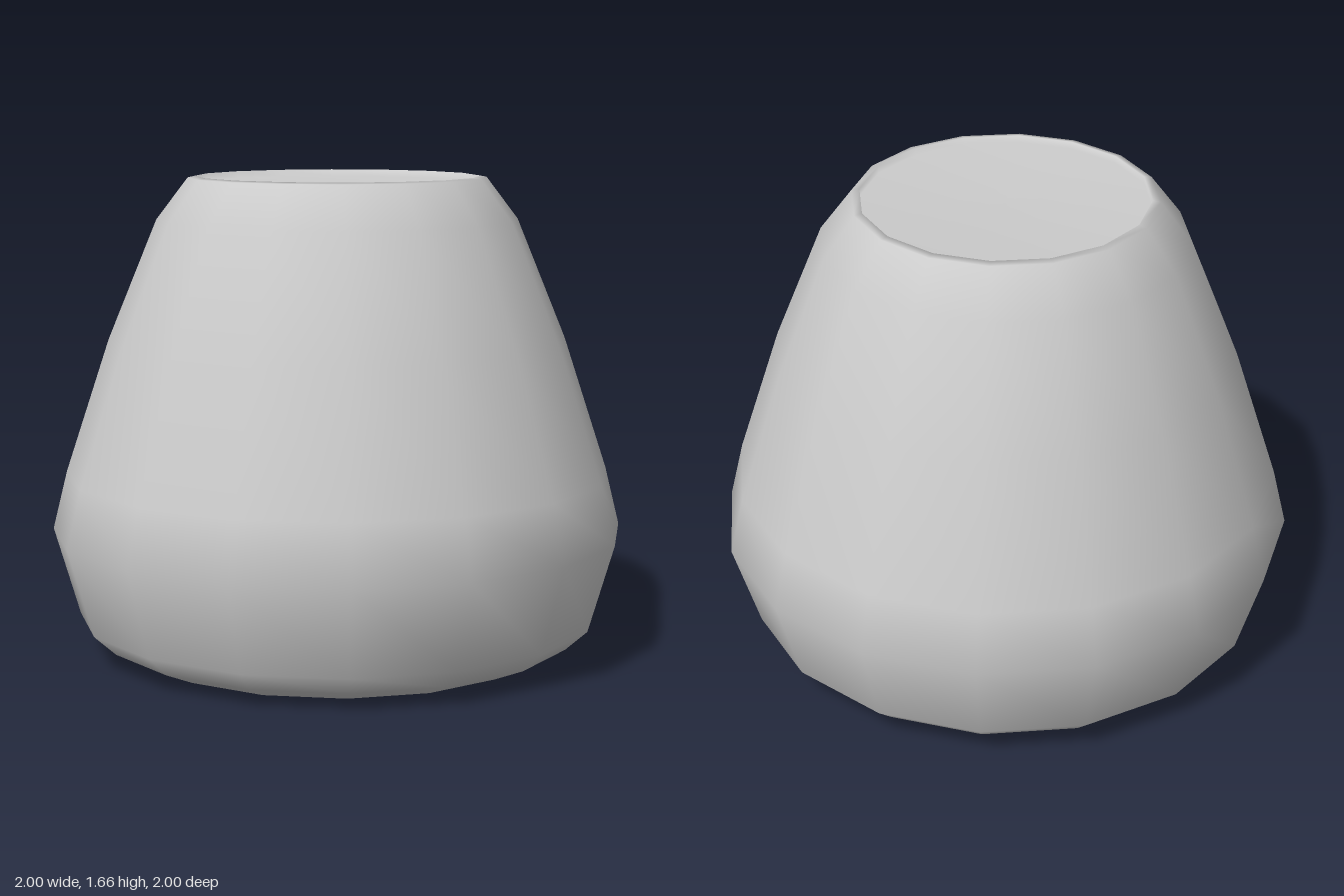
import * as THREE from 'three';

export function createModel() {
  const group = new THREE.Group();

  // Half profile as [radius, height]: base, belly, shoulder, rim, shallow recess in the top
  const profile = [
    [0, 0], [0.715, 0], [0.833, 0.05], [0.91, 0.12], [1, 0.427], [0.95, 0.63],
    [0.797, 1.095], [0.627, 1.51], [0.517, 1.655], [0.49, 1.66], [0.49, 1.635], [0, 1.63],
  ].map(([r, y]) => new THREE.Vector2(r, y));

  // Smooth-shaded body turned with sixteen sides
  const body = new THREE.Mesh(
    new THREE.LatheGeometry(profile, 16),
    new THREE.MeshStandardMaterial({ color: 0xcccccc })
  );
  body.name = 'body';
  group.add(body);

  return group;
}
